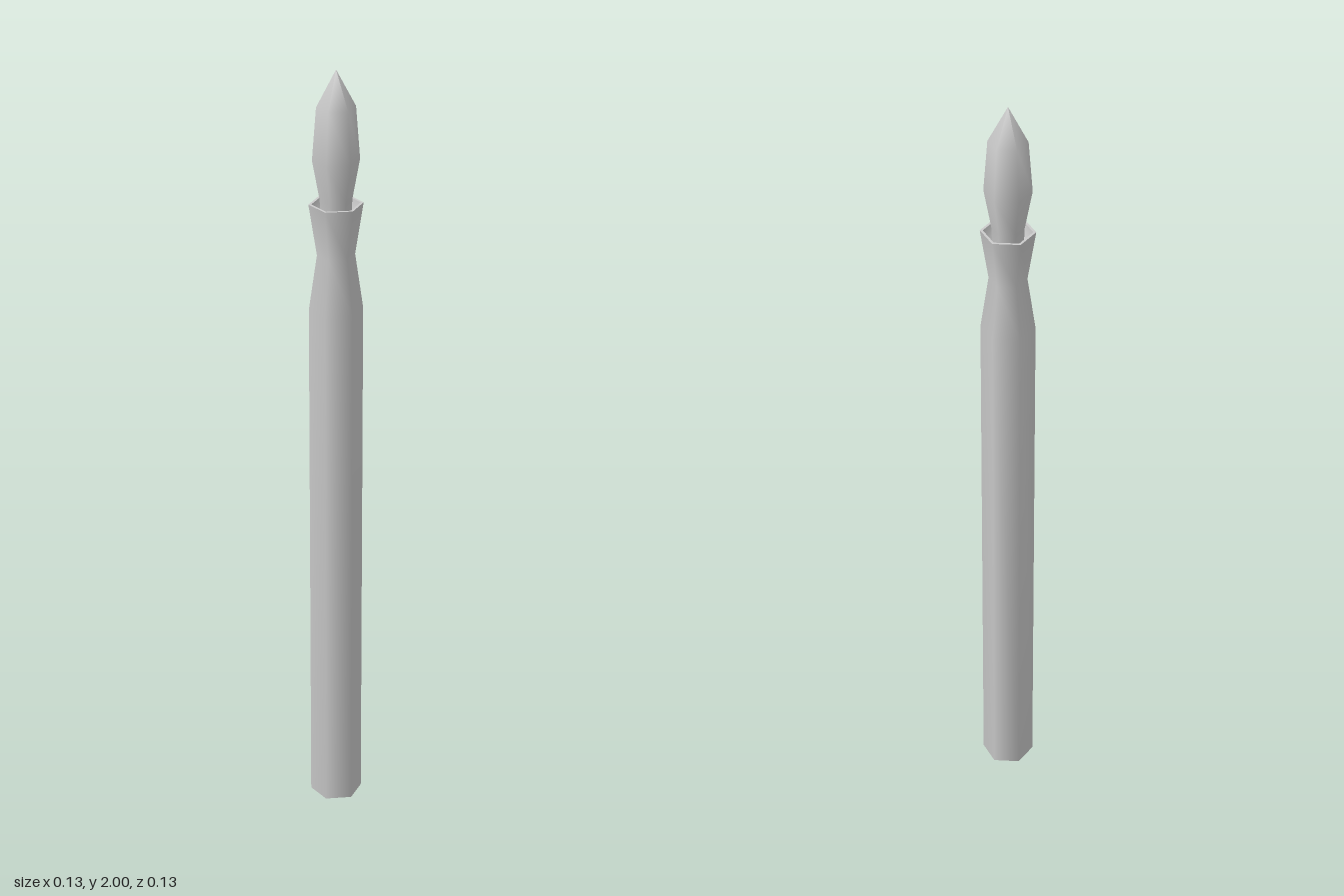
import * as THREE from 'three';

// Six-sided smooth lathe, profile listed from bottom to top as [radius, y]
const START = THREE.MathUtils.degToRad(43);

function hexLathe(name, profile) {
  const points = profile.map(([r, y]) => new THREE.Vector2(r, y));
  const geometry = new THREE.LatheGeometry(points, 6, START);
  const material = new THREE.MeshStandardMaterial({ color: 0xcccccc, side: THREE.DoubleSide });
  const mesh = new THREE.Mesh(geometry, material);
  mesh.name = name;
  return mesh;
}

export function createModel() {
  const model = new THREE.Group();
  model.name = 'brush';

  // Handle with a shallow pointed base, pinched neck and flared collar
  model.add(hexLathe('handle', [
    [0, 0], [0.066, 0.025], [0.066, 1.4], [0.046, 1.54], [0.066, 1.67],
  ]));

  // Flat lip and recessed socket inside the collar
  model.add(hexLathe('collarLip', [[0.066, 1.67], [0.059, 1.67]]));
  model.add(hexLathe('socket', [[0.059, 1.67], [0.049, 1.61], [0, 1.61]]));

  // Bulging tip that tapers to a point
  model.add(hexLathe('tip', [
    [0.036, 1.61], [0.039, 1.68], [0.057, 1.78], [0.047, 1.91], [0, 2],
  ]));

  return model;
}
